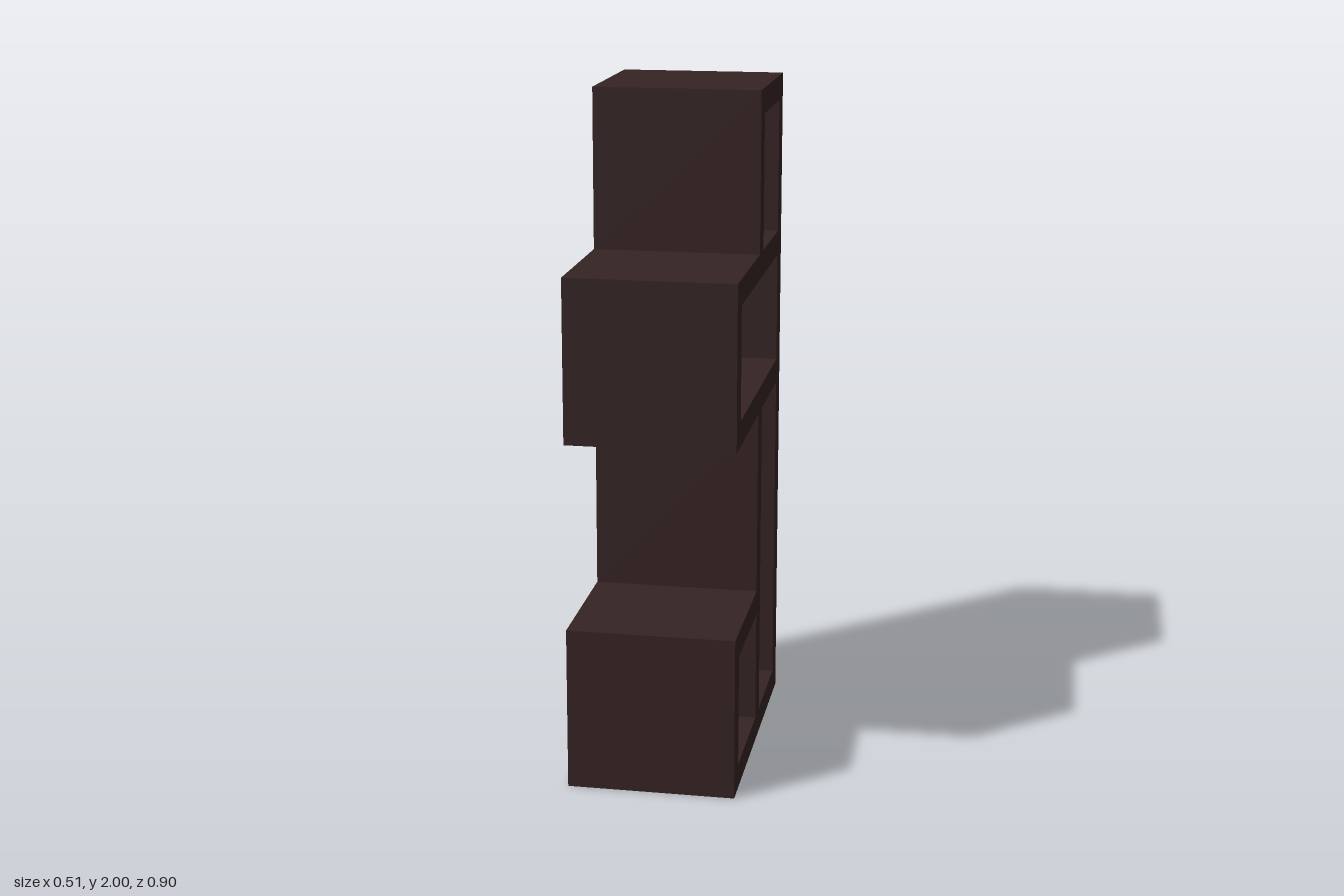
import * as THREE from 'three';

const WIDTH = 0.494;
const BOARD = 0.075;
const BACK = -0.447, FRONT = 0.447;  // depth of the whole unit
const MID = 0.02;                    // front face of the middle upright

// Rectangle in side profile: horizontal = depth, vertical = height
function rectPath(z0, z1, y0, y1) {
  return new THREE.Path([
    new THREE.Vector2(z0, y0), new THREE.Vector2(z0, y1),
    new THREE.Vector2(z1, y1), new THREE.Vector2(z1, y0),
  ]);
}

export function createModel() {
  const wood = new THREE.MeshStandardMaterial({ color: 0x362424 });
  wood.name = 'dark wood';

  const model = new THREE.Group();
  model.name = 'steppedShelf';

  // Stepped outline: low box, tall column, projecting upper box, narrow top
  const outline = [
    [BACK, 0], [FRONT, 0], [FRONT, 0.487], [MID, 0.487], [MID, 1.043],
    [FRONT, 1.043], [FRONT, 1.524], [MID, 1.524], [MID, 2], [BACK, 2],
  ];
  const profile = new THREE.Shape(outline.map(([z, y]) => new THREE.Vector2(z, y)));

  // Open compartments running through from side to side
  const inBack = BACK + BOARD, inFront = FRONT - BOARD, inMid = MID - BOARD;
  profile.holes.push(
    rectPath(MID, inFront, BOARD, 0.487 - BOARD),            // low box
    rectPath(inBack, inMid, BOARD, 1.043),                   // tall column
    rectPath(inBack, inFront, 1.043 + BOARD, 1.524 - BOARD), // upper box
    rectPath(inBack, inMid, 1.524, 2 - BOARD),               // top cubby
  );

  const geometry = new THREE.ExtrudeGeometry(profile, { depth: WIDTH, bevelEnabled: false });
  geometry.translate(0, 0, -WIDTH / 2);
  geometry.rotateY(-Math.PI / 2); // profile depth becomes z

  const frame = new THREE.Mesh(geometry, wood);
  frame.name = 'shelfFrame';
  frame.rotation.y = -0.0166; // stands very slightly turned
  model.add(frame);
  return model;
}
